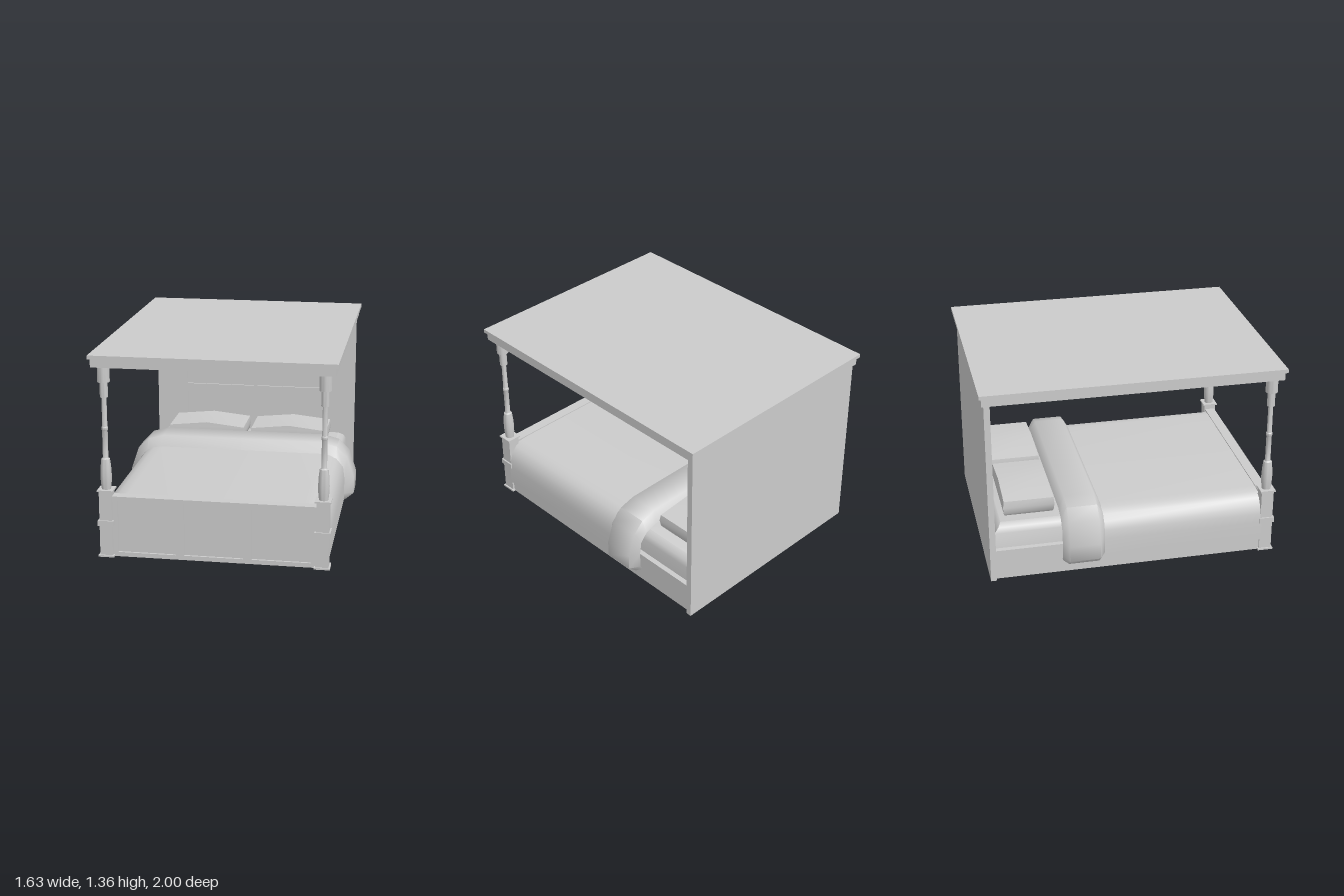
import * as THREE from 'three';
import { toCreasedNormals } from 'three/addons/utils/BufferGeometryUtils.js';

const grey = new THREE.MeshStandardMaterial({ color: 0xcccccc, side: THREE.DoubleSide });

function add(parent, name, geometry, x = 0, y = 0, z = 0) {
  const mesh = new THREE.Mesh(geometry, grey);
  mesh.name = name;
  mesh.position.set(x, y, z);
  parent.add(mesh);
  return mesh;
}

// Box given by its extents
function block(parent, name, [x0, x1], [y0, y1], [z0, z1]) {
  return add(parent, name, new THREE.BoxGeometry(x1 - x0, y1 - y0, z1 - z0),
    (x0 + x1) / 2, (y0 + y1) / 2, (z0 + z1) / 2);
}

// Board with recessed rectangular panels; its face lies at local z = 0
function panelledBoard(parent, name, [x0, x1], [y0, y1], cols, rows, thickness, recess) {
  const group = new THREE.Group();
  group.name = name;
  const rect = (path, a, b, c, d) =>
    path.moveTo(a, b).lineTo(c, b).lineTo(c, d).lineTo(a, d).closePath();
  const shape = rect(new THREE.Shape(), x0, y0, x1, y1);
  for (const [a, c] of cols)
    for (const [b, d] of rows) shape.holes.push(rect(new THREE.Path(), a, b, c, d));
  add(group, name + 'Frame', new THREE.ExtrudeGeometry(shape, { depth: recess, bevelEnabled: false }), 0, 0, -recess);
  block(group, name + 'Panels', [x0, x1], [y0, y1], [-thickness, -recess]);
  parent.add(group);
  return group;
}

// Skin over closed rings of equal point count, capped at both ends
function loft(rings, crease = 1) {
  const n = rings[0].length, last = rings.length - 1;
  const pos = rings.flat(2), index = [];
  const centre = (ring) => {
    for (let k = 0; k < 3; k++) pos.push(ring.reduce((s, p) => s + p[k], 0) / n);
    return pos.length / 3 - 1;
  };
  const c0 = centre(rings[0]), c1 = centre(rings[last]);
  for (let j = 0; j < n; j++) {
    const k = (j + 1) % n;
    for (let i = 0; i < last; i++) {
      const a = i * n + j, b = i * n + k;
      index.push(a, b, b + n, a, b + n, a + n);
    }
    index.push(c0, k, j, c1, last * n + j, last * n + k);
  }
  const g = new THREE.BufferGeometry();
  g.setAttribute('position', new THREE.Float32BufferAttribute(pos, 3));
  g.setIndex(index);
  return toCreasedNormals(g, crease);
}

// Right half of a path (ending on x = 0) completed on the left
const mirrored = (half) => [...half, ...half.slice(0, -1).reverse().map(([x, y]) => [-x, y])];

export function createModel() {
  const bed = new THREE.Group();
  bed.name = 'fourPosterBed';

  // Canopy with coffered underside
  block(bed, 'canopyTop', [-0.79, 0.79], [1.33, 1.355], [-1, 1]);
  const canopy = panelledBoard(bed, 'canopy', [-0.775, 0.775], [-0.985, 0.985],
    [[-0.63, -0.015], [0.015, 0.63]], [[-0.84, -0.295], [-0.265, 0.265], [0.295, 0.84]], 0.055, 0.02);
  canopy.rotation.x = Math.PI / 2;
  canopy.position.y = 1.275;

  // Headboard and footboard
  panelledBoard(bed, 'headboard', [-0.76, 0.76], [0, 1.275],
    [[-0.53, -0.014], [0.014, 0.53]], [[0.23, 0.675], [0.705, 1.16]], 0.04, 0.015).position.z = -0.93;
  panelledBoard(bed, 'footboard', [-0.67, 0.67], [0, 0.403],
    [[-0.63, -0.25], [-0.193, 0.193], [0.25, 0.63]], [[0.03, 0.387]], 0.05, 0.015).position.z = 0.945;
  block(bed, 'footboardCap', [-0.67, 0.67], [0.403, 0.415], [0.885, 0.955]);

  // Turned post profile: radius, height
  const profile = [[0, 0.455], [0.03, 0.455], [0.035, 0.5], [0.037, 0.55], [0.034, 0.61], [0.028, 0.66],
    [0.02, 0.665], [0.018, 0.67], [0.018, 0.85], [0.021, 0.855], [0.021, 0.872], [0.017, 0.877],
    [0.016, 1.07], [0.026, 1.07], [0.026, 1.17], [0.04, 1.17], [0.04, 1.275]]
    .map(([r, y]) => new THREE.Vector2(r, y));

  for (const side of [-1, 1]) {
    // Front post: square pedestal with plates, turned shaft above
    const post = new THREE.Group();
    post.name = side > 0 ? 'leftPost' : 'rightPost';
    post.position.set(side * 0.706, 0, 0.922);
    const square = (name, half, y) => block(post, name, [-half, half], y, [-half, half]);
    square('pedestal', 0.042, [0, 0.455]);
    square('pedestalBase', 0.052, [0, 0.012]);
    square('pedestalBand', 0.052, [0.213, 0.25]);
    square('pedestalTop', 0.052, [0.446, 0.457]);
    add(post, 'turnedShaft', toCreasedNormals(new THREE.LatheGeometry(profile, 24), 0.7));
    bed.add(post);

    // Side rail
    add(bed, side > 0 ? 'leftRail' : 'rightRail', new THREE.BoxGeometry(0.045, 0.21, 1.83), side * 0.7125, 0.105, -0.015);

    // Pillow: swelling sides and a low ridge on top
    const level = (y, a, b) => [[-a, y, b], [0, y, b], [a, y, b], [a, y, -b], [0, y, -b], [-a, y, -b]];
    add(bed, side > 0 ? 'leftPillow' : 'rightPillow', loft([
      level(0.375, 0.26, 0.16), level(0.395, 0.275, 0.167), level(0.44, 0.285, 0.172),
      level(0.487, 0.278, 0.166), level(0.516, 0, 0.164),
    ], 0.9), side * 0.307, 0, -0.68);
  }

  // Mattress
  const mattressRing = (y, a, back) => [[-a, y, 0.88], [a, y, 0.88], [a, y, back], [-a, y, back]];
  add(bed, 'mattress', loft([mattressRing(0.085, 0.7, -0.93), mattressRing(0.32, 0.7, -0.93),
    mattressRing(0.355, 0.685, -0.9), mattressRing(0.376, 0.645, -0.88)], 0.9));

  // Blanket draped over the sides
  const drape = mirrored([[0.75, 0.08], [0.75, 0.22], [0.743, 0.28], [0.725, 0.335], [0.69, 0.378],
    [0.64, 0.402], [0.58, 0.408], [0, 0.408]]);
  const blanket = new THREE.ExtrudeGeometry(new THREE.Shape(drape.map((p) => new THREE.Vector2(...p))),
    { depth: 1.16, bevelEnabled: false });
  add(bed, 'blanket', toCreasedNormals(blanket, 0.8), 0, 0, -0.27);

  // Thick folded-back edge of the blanket
  const inner = mirrored([[0.73, 0.085], [0.75, 0.12], [0.752, 0.23], [0.74, 0.32], [0.69, 0.38],
    [0.6, 0.41], [0, 0.41]]);
  const outer = mirrored([[0.755, 0.062], [0.817, 0.115], [0.817, 0.225], [0.765, 0.38], [0.69, 0.455],
    [0.58, 0.484], [0, 0.484]]);
  add(bed, 'blanketFold', loft(outer.map(([x, y], i) => {
    const [u, v] = inner[i];
    return [[u, v, -0.2], [x, y, -0.24], [x, y, -0.445], [u, v, -0.485]];
  }), 1.1));

  return bed;
}
